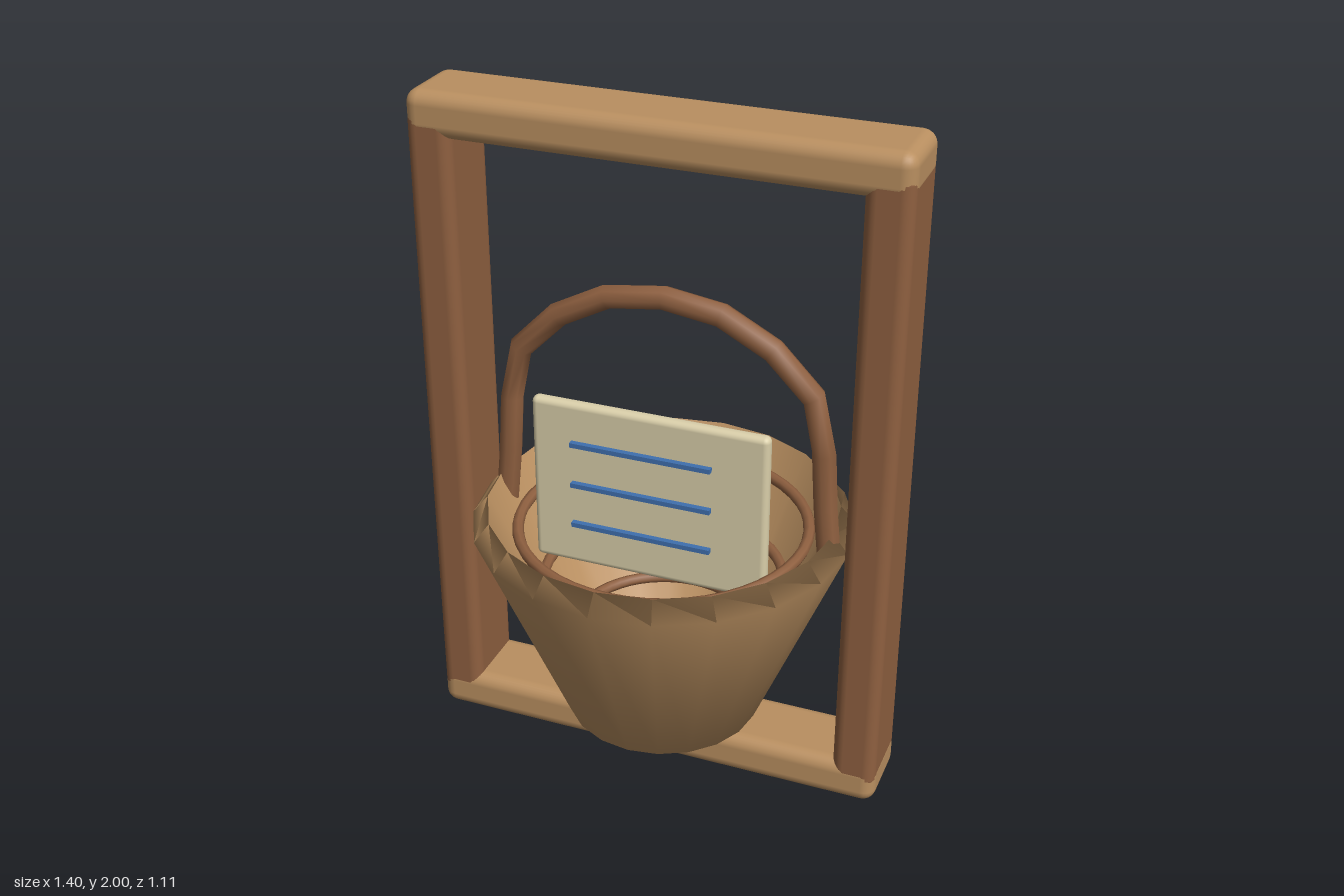
import * as THREE from 'three';
import { RoundedBoxGeometry } from 'three/addons/geometries/RoundedBoxGeometry.js';

function material(name, color) {
  const m = new THREE.MeshStandardMaterial({ color });
  m.name = name;
  return m;
}

export function createModel() {
  const model = new THREE.Group();
  model.name = 'basketInFrame';
  const lightWood = material('light wood', 0xb98f60);
  const darkWood = material('dark wood', 0x8f6040);
  const paper = material('cream paper', 0xd9cea9);
  const ink = material('blue ink', 0x3f6fae);

  function add(name, geometry, mat, x = 0, y = 0, z = 0) {
    const mesh = new THREE.Mesh(geometry, mat);
    mesh.name = name;
    mesh.position.set(x, y, z);
    model.add(mesh);
    return mesh;
  }

  // Frame: two beams joined by two posts
  const beam = new RoundedBoxGeometry(1.4, 0.13, 0.24, 3, 0.04);
  add('bottomBeam', beam, lightWood, 0, 0.067);
  add('topBeam', beam, lightWood, 0, 1.935);
  const post = new RoundedBoxGeometry(0.13, 1.9, 0.238, 3, 0.035);
  for (const side of [-1, 1]) {
    add(side > 0 ? 'leftPost' : 'rightPost', post, darkWood, side * 0.634, 1);
  }

  // Basket: closed base, flared wall, bevelled rim, hollow inside
  const profile = [
    [0, 0.135], [0.29, 0.135], [0.555, 0.77], [0.51, 0.825], [0.22, 0.2], [0, 0.2],
  ].map(([r, y]) => new THREE.Vector2(r, y));
  add('basket', new THREE.LatheGeometry(profile, 20), lightWood);

  // Woven hoops inside the basket
  for (const [radius, y] of [[0.422, 0.75], [0.353, 0.57], [0.268, 0.39]]) {
    const hoop = add('basketHoop', new THREE.TorusGeometry(radius, 0.017, 8, 48), darkWood, 0, y);
    hoop.rotation.x = Math.PI / 2;
  }

  // Arched handle
  const half = [[0.5, 0.74], [0.475, 0.98], [0.452, 1.21], [0.345, 1.34], [0.18, 1.437]];
  const path = [
    ...half.map(([x, y]) => new THREE.Vector3(-x, y, 0)),
    new THREE.Vector3(0, 1.465, 0),
    ...half.map(([x, y]) => new THREE.Vector3(x, y, 0)).reverse(),
  ];
  add('handle', new THREE.TubeGeometry(new THREE.CatmullRomCurve3(path), 12, 0.035, 8), darkWood);

  // Card with three written lines
  add('card', new RoundedBoxGeometry(0.705, 0.52, 0.04, 3, 0.018), paper, 0, 0.897, 0.104);
  for (let i = -1; i <= 1; i++) {
    add('cardLine', new THREE.BoxGeometry(0.42, 0.014, 0.018), ink, -0.02, 0.904 + i * 0.13, 0.132);
  }
  return model;
}
